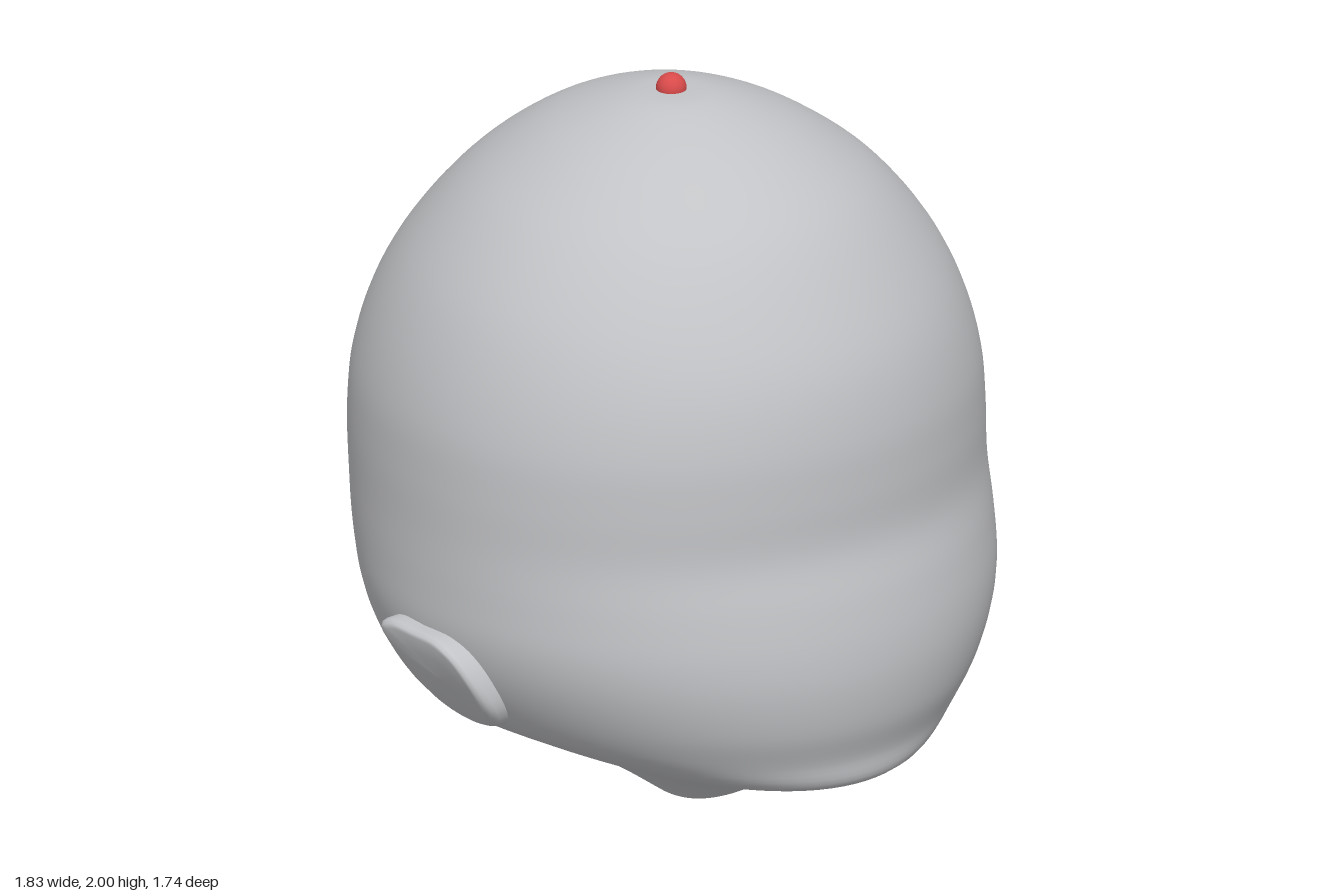
import * as THREE from 'three';

const grey = new THREE.MeshStandardMaterial({ color: 0xc2c3c6, side: THREE.DoubleSide });
grey.name = 'grey';
const red = new THREE.MeshStandardMaterial({ color: 0xd84a4a });
red.name = 'red';

function addMesh(parent, name, geometry, material) {
  const mesh = new THREE.Mesh(geometry, material);
  mesh.name = name;
  parent.add(mesh);
  return mesh;
}

// Rings from crown to neck: [half width, side y, side z, front z, front y, back z, back y]
const rings = [
  [0, 1.957, 0, 0, 1.957, 0, 1.957],
  [0.12, 1.95, 0, 0.12, 1.95, -0.12, 1.95],
  [0.3, 1.885, 0, 0.29, 1.89, -0.31, 1.89],
  [0.43, 1.81, 0, 0.43, 1.81, -0.45, 1.81],
  [0.57, 1.7, 0, 0.56, 1.7, -0.58, 1.7],
  [0.71, 1.53, 0, 0.68, 1.53, -0.72, 1.53],
  [0.79, 1.37, 0, 0.76, 1.37, -0.81, 1.37],
  [0.84, 1.2, 0, 0.8, 1.2, -0.86, 1.2],
  [0.855, 1.05, 0, 0.808, 1.05, -0.87, 1.06],
  [0.86, 0.9, 0, 0.81, 0.9, -0.855, 0.9],
  [0.865, 0.76, 0, 0.845, 0.76, -0.825, 0.76],
  [0.864, 0.64, 0, 0.868, 0.63, -0.78, 0.64],
  [0.84, 0.54, 0, 0.872, 0.52, -0.73, 0.53],
  [0.79, 0.44, 0, 0.855, 0.4, -0.66, 0.42],
  [0.73, 0.365, 0, 0.82, 0.3, -0.58, 0.34],
  [0.6, 0.29, 0.02, 0.805, 0.225, -0.47, 0.255],
  [0.42, 0.205, 0.04, 0.7, 0.19, -0.34, 0.2],
  [0.24, 0.1, 0.08, 0.52, 0.135, -0.23, 0.155],
  [0.1, 0, 0.1, 0.4, 0.1, -0.16, 0.12],
];

// Head skin: three profile curves joined by elliptical loops
function headGeometry(rows = 90, cols = 96) {
  const side = new THREE.CatmullRomCurve3(rings.map((r) => new THREE.Vector3(r[0], r[1], r[2])));
  const front = new THREE.CatmullRomCurve3(rings.map((r) => new THREE.Vector3(0, r[4], r[3])));
  const back = new THREE.CatmullRomCurve3(rings.map((r) => new THREE.Vector3(0, r[6], r[5])));
  const pos = [];
  const index = [];
  for (let i = 0; i <= rows; i++) {
    const s = side.getPoint(i / rows);
    const f = front.getPoint(i / rows);
    const b = back.getPoint(i / rows);
    for (let j = 0; j < cols; j++) {
      const a = (j / cols) * Math.PI * 2;
      const c = Math.cos(a);
      const end = c >= 0 ? f : b;
      pos.push(
        s.x * Math.sin(a),
        s.y + (end.y - s.y) * c * c,
        s.z + (end.z - s.z) * Math.abs(c),
      );
      if (i < rows) {
        const k = (j + 1) % cols;
        const p = i * cols + j, q = i * cols + k;
        index.push(p, p + cols, q, q, p + cols, q + cols);
      }
    }
  }
  const g = new THREE.BufferGeometry();
  g.setAttribute('position', new THREE.Float32BufferAttribute(pos, 3));
  g.setIndex(index);
  g.computeVertexNormals();
  return g;
}

// Teardrop ear built as rounded loops shrinking toward the outer face, leaning with the cheek
function earGeometry(sign) {
  const outline = [
    [0.22, 0.45], [0.212, 0.53], [0.17, 0.6], [0.1, 0.638], [0, 0.645], [-0.1, 0.645],
    [-0.138, 0.625], [-0.11, 0.57], [-0.06, 0.49], [-0.025, 0.415], [0.03, 0.375],
    [0.11, 0.365], [0.185, 0.39],
  ].map(([z, y]) => new THREE.Vector3(0, y, z));
  const loop = new THREE.CatmullRomCurve3(outline, true).getPoints(64).slice(0, 64);
  // [scale, depth below the outer face]
  const layers = [[1, 0.12], [1, 0.03], [0.98, 0.014], [0.93, 0.003], [0.85, 0], [0.5, 0], [0, 0]];
  const n = loop.length;
  const pos = [];
  const index = [];
  layers.forEach(([scale, depth], i) => {
    loop.forEach((p, j) => {
      const y = 0.52 + (p.y - 0.52) * scale;
      const z = 0.07 + (p.z - 0.07) * scale;
      const t = Math.max(0, 0.62 - y);
      pos.push(sign * (0.915 - 0.25 * t - 1.3 * t * t - depth), y, z);
      if (i < layers.length - 1) {
        const k = (j + 1) % n;
        const a = i * n + j, b = i * n + k;
        if (sign > 0) index.push(a, a + n, b, b, a + n, b + n);
        else index.push(a, b, a + n, b, b + n, a + n);
      }
    });
  });
  // Wind the faces outward
  for (let i = 0; i < index.length; i += 3) {
    [index[i + 1], index[i + 2]] = [index[i + 2], index[i + 1]];
  }
  const g = new THREE.BufferGeometry();
  g.setAttribute('position', new THREE.Float32BufferAttribute(pos, 3));
  g.setIndex(index);
  g.computeVertexNormals();
  // Check the outer face normal and flip the winding if it points inward
  if (g.attributes.normal.getX(4 * n) * sign < 0) {
    for (let i = 0; i < index.length; i += 3) {
      [index[i + 1], index[i + 2]] = [index[i + 2], index[i + 1]];
    }
    g.setIndex(index);
    g.computeVertexNormals();
  }
  return g;
}

export function createModel() {
  const model = new THREE.Group();
  model.name = 'head';
  addMesh(model, 'headSkin', headGeometry(), grey);
  addMesh(model, 'leftEar', earGeometry(1), grey);
  addMesh(model, 'rightEar', earGeometry(-1), grey);

  // Marker balls at the crown and in the neck opening
  const ball = new THREE.SphereGeometry(0.041, 24, 16);
  addMesh(model, 'crownBall', ball, red).position.set(0, 1.959, 0);
  addMesh(model, 'neckBall', ball, grey).position.set(0, 0.085, 0);
  return model;
}
